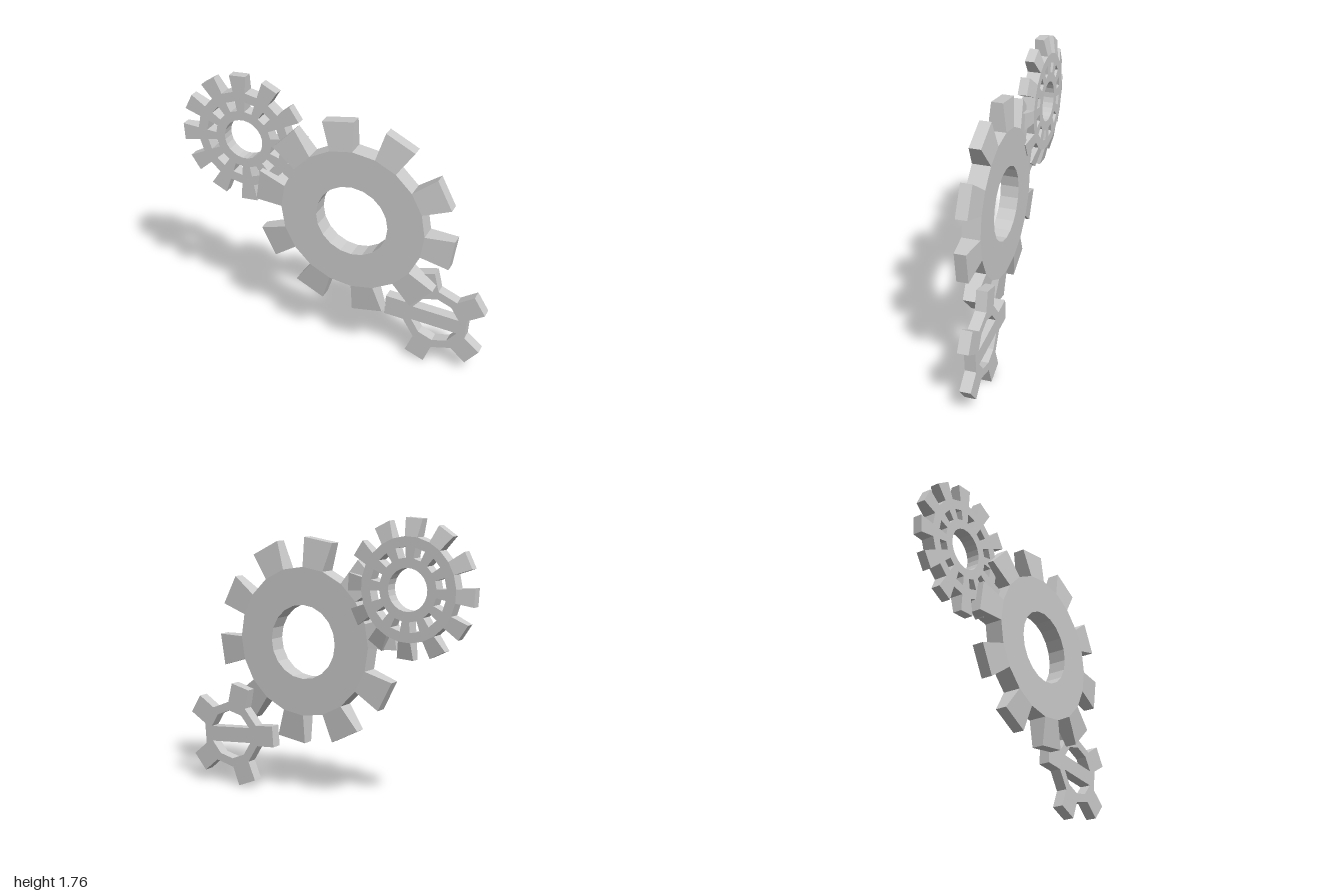
import * as THREE from 'three';
import { mergeGeometries } from 'three/addons/utils/BufferGeometryUtils.js';

const RAD = Math.PI / 180;
const polar = (r, deg) => new THREE.Vector2(r * Math.cos(deg * RAD), r * Math.sin(deg * RAD));

// Points along an arc, in degrees, both ends included
function arc(r, from, to, steps) {
  return Array.from({ length: steps + 1 }, (_, i) => polar(r, from + ((to - from) * i) / steps));
}

// Regular polygon without a repeated end point
const ring = (r, start, sides) => arc(r, start, start + 360, sides).slice(0, -1);

// Tooth: a box bent to polar corners, narrowing from root to tip
function toothGeometry({ root, tip, rootWidth, tipWidth, rootZ, tipZ }, mid) {
  const geo = new THREE.BoxGeometry(1, 1, 1);
  geo.setIndex(Array.from(geo.index.array).filter((_, i) => i < 6 || i >= 12)); // no hidden inner face
  const pos = geo.attributes.position;
  for (let i = 0; i < pos.count; i++) {
    const outer = pos.getX(i) > 0;
    const p = polar(outer ? tip : root, mid + pos.getY(i) * (outer ? tipWidth : rootWidth));
    const z = (outer ? tipZ : rootZ)[pos.getZ(i) > 0 ? 1 : 0];
    pos.setXYZ(i, p.x, p.y, z);
  }
  const flat = geo.toNonIndexed();
  flat.computeVertexNormals();
  return flat;
}

function makeGear(name, spec, material) {
  const { teeth, start, root, rootWidth, rootZ, holes, centre } = spec;
  const step = 360 / teeth;
  const gear = new THREE.Group();
  gear.name = name;

  // Body: polygon with a corner at each side of every tooth
  const outline = [];
  for (let i = 0; i < teeth; i++) {
    const mid = start + i * step;
    outline.push(polar(root, mid - rootWidth / 2), polar(root, mid + rootWidth / 2));
  }
  const shape = new THREE.Shape(outline);
  holes.forEach((pts) => shape.holes.push(new THREE.Path(pts)));
  const bodyGeo = new THREE.ExtrudeGeometry(shape, { depth: rootZ[1] - rootZ[0], bevelEnabled: false });
  bodyGeo.translate(0, 0, rootZ[0]);
  const body = new THREE.Mesh(bodyGeo, material);
  body.name = name + 'Body';

  // Teeth
  const parts = Array.from({ length: teeth }, (_, i) => toothGeometry(spec, start + i * step));
  const toothMesh = new THREE.Mesh(mergeGeometries(parts), material);
  toothMesh.name = name + 'Teeth';

  gear.add(body, toothMesh);
  gear.position.set(centre[0], centre[1], 0);
  return gear;
}

export function createModel() {
  const material = new THREE.MeshStandardMaterial({ color: 0xcccccc, flatShading: true });
  const model = new THREE.Group();
  model.name = 'gearTrain';

  // Large gear with a plain bore
  model.add(makeGear('largeGear', {
    centre: [0.16, 0.973], teeth: 10, start: 99,
    root: 0.465, tip: 0.647, rootWidth: 18, tipWidth: 18,
    rootZ: [-0.03, 0.085], tipZ: [-0.01, 0.063],
    holes: [ring(0.232, 0, 20)],
  }, material));

  // Upper gear with a bore and a window below every gap between teeth
  const windows = Array.from({ length: 12 }, (_, i) => {
    const a = 101 + i * 30;
    return [polar(0.187, a), polar(0.25, a), polar(0.25, a + 15), polar(0.187, a + 15)];
  });
  model.add(makeGear('upperGear', {
    centre: [-0.583, 1.342], teeth: 12, start: 93.5,
    root: 0.31, tip: 0.417, rootWidth: 15, tipWidth: 15,
    rootZ: [-0.062, 0.022], tipZ: [-0.036, 0.022],
    holes: [ring(0.128, 86, 24), ...windows],
  }, material));

  // Lower gear: two half openings leave a bar across the middle
  model.add(makeGear('lowerGear', {
    centre: [0.682, 0.333], teeth: 5, start: 31.7,
    root: 0.214, tip: 0.337, rootWidth: 36, tipWidth: 23,
    rootZ: [-0.086, -0.016], tipZ: [-0.086, -0.016],
    holes: [arc(0.158, 13.7, 157.7, 4), arc(0.158, 193.7, 337.7, 4)],
  }, material));

  return model;
}
